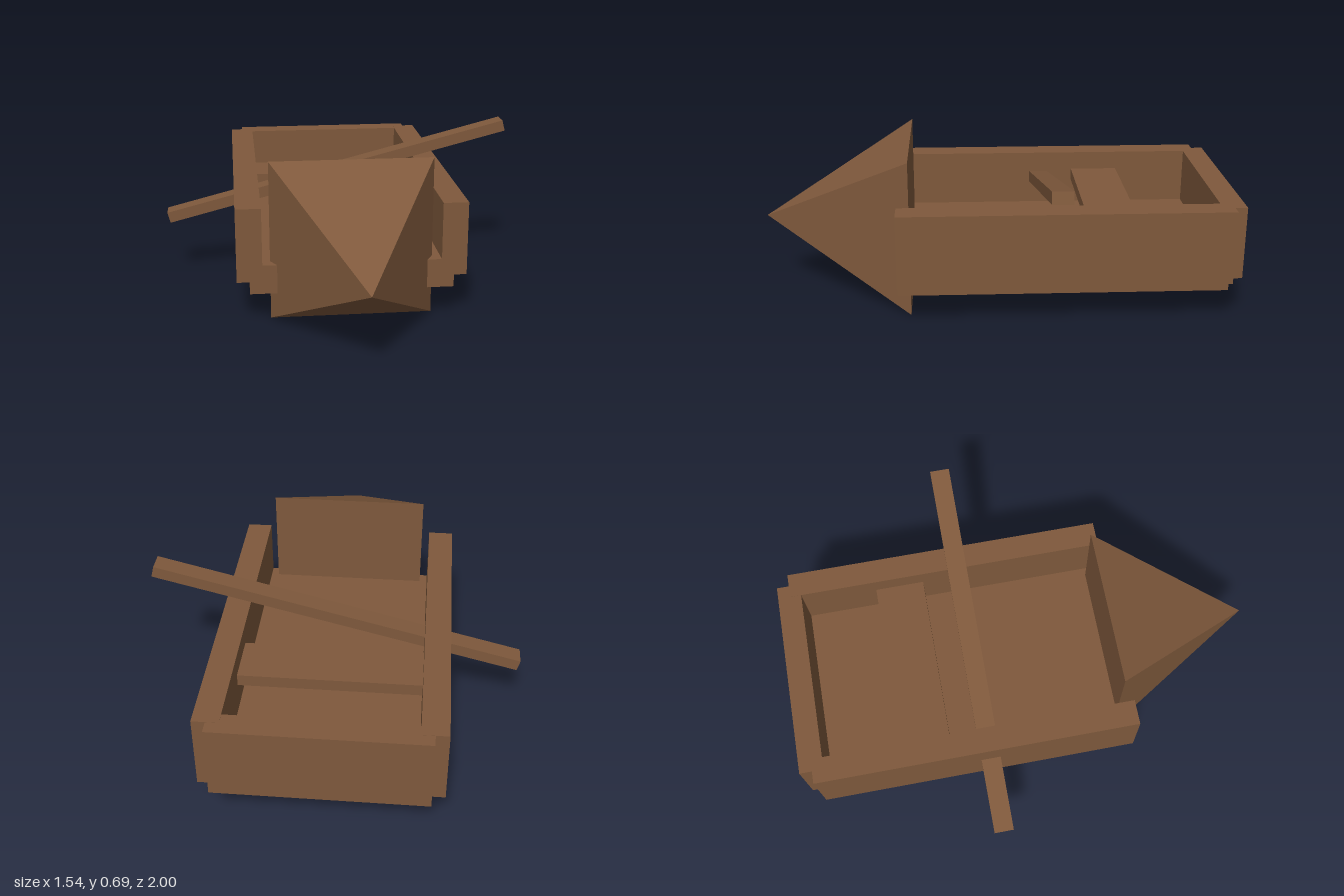
import * as THREE from 'three';

const wood = new THREE.MeshStandardMaterial({ color: 0x7f593c, flatShading: true });
wood.name = 'brown wood';

const MID = 0.005; // centre line of the hull

export function createModel() {
  const boat = new THREE.Group();
  boat.name = 'rowingBoat';

  const add = (name, geometry, x, y, z) => {
    const mesh = new THREE.Mesh(geometry, wood);
    mesh.name = name;
    mesh.position.set(x, y, z);
    boat.add(mesh);
    return mesh;
  };

  // box given by its width, centred on the hull, and its y and z limits
  const plank = (name, x, width, [y0, y1], [z0, z1]) =>
    add(name, new THREE.BoxGeometry(width, y1 - y0, z1 - z0), x, (y0 + y1) / 2, (z0 + z1) / 2);

  // hull
  plank('floor', MID, 0.84, [0.128, 0.25], [-0.945, 0.42]);
  plank('leftSide', MID + 0.4205, 0.105, [0.18, 0.491], [-0.948, 0.42]);
  plank('rightSide', MID - 0.4205, 0.105, [0.18, 0.491], [-0.948, 0.42]);
  plank('sternBoard', MID, 0.84, [0.181, 0.49], [-1, -0.9]);

  // bench between the sides
  plank('bench', MID, 0.76, [0.36, 0.41], [-0.58, -0.37]);

  // bow: a closed square pyramid pointing forward
  const half = 0.335, length = 0.63;
  const pyramid = new THREE.ConeGeometry(half * Math.SQRT2, length, 4, 1);
  pyramid.rotateY(Math.PI / 4).rotateX(Math.PI / 2);
  add('bow', pyramid, MID, half, 1 - length / 2);

  // tilted oar lying across the hull
  const oar = add('oar', new THREE.BoxGeometry(1.575, 0.049, 0.082), 0, 0.468, -0.214);
  oar.rotation.z = 0.25;

  return boat;
}
